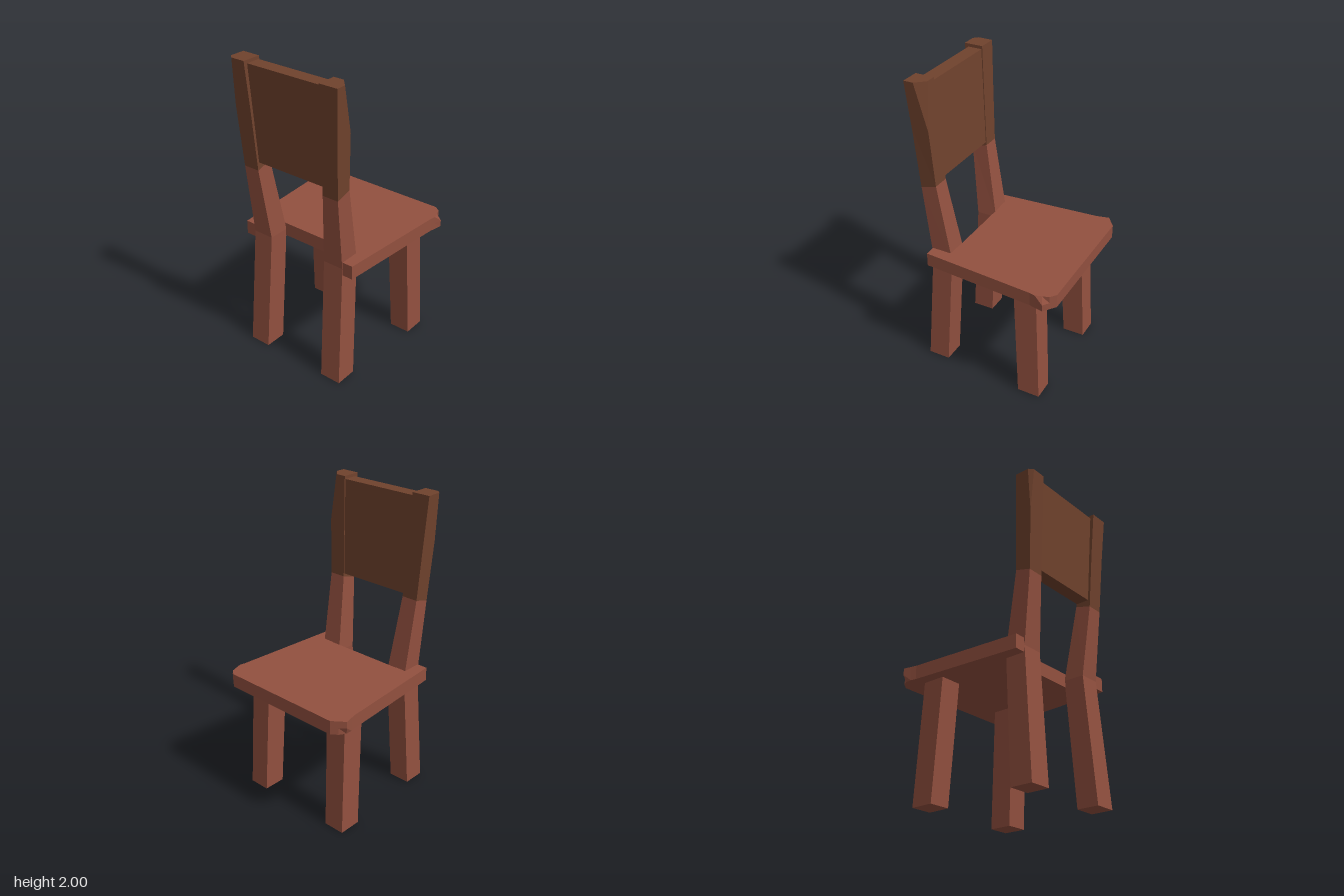
import * as THREE from 'three';

// Faceted solid through stacked rings of [x, y, z] points, capped at both ends
function loft(rings) {
  const flat = (r) => r.map(([x, , z]) => new THREE.Vector2(x, z));
  if (THREE.ShapeUtils.area(flat(rings[0])) < 0) rings = rings.map((r) => [...r].reverse());
  const pos = [];
  const tri = (a, b, c) => pos.push(...a, ...b, ...c);
  const n = rings[0].length;
  for (let k = 0; k + 1 < rings.length; k++) {
    const lo = rings[k], hi = rings[k + 1];
    for (let i = 0; i < n; i++) {
      const j = (i + 1) % n;
      tri(lo[i], hi[i], hi[j]);
      tri(lo[i], hi[j], lo[j]);
    }
  }
  const cap = (r, up) => {
    for (const [a, b, c] of THREE.ShapeUtils.triangulateShape(flat(r), [])) {
      if (up) tri(r[a], r[c], r[b]);
      else tri(r[a], r[b], r[c]);
    }
  };
  cap(rings[0], false);
  cap(rings[rings.length - 1], true);
  const g = new THREE.BufferGeometry();
  g.setAttribute('position', new THREE.Float32BufferAttribute(pos, 3));
  g.computeVertexNormals();
  return g;
}

// Four-cornered ring, with its own height at the low-z and high-z edges
const quad = (s, x0, x1, z0, z1, y0, y1 = y0) =>
  [[s * x0, y0, z0], [s * x1, y0, z0], [s * x1, y1, z1], [s * x0, y1, z1]];

export function createModel() {
  const group = new THREE.Group();
  const redWood = new THREE.MeshStandardMaterial({ color: 0x92503f });
  redWood.name = 'redWood';
  const brownWood = new THREE.MeshStandardMaterial({ color: 0x70422d });
  brownWood.name = 'brownWood';
  const add = (name, rings, material) => {
    const mesh = new THREE.Mesh(loft(rings), material);
    mesh.name = name;
    group.add(mesh);
  };

  // Seat: tapered board, notched for the posts, with chipped corners
  const seatRing = (y, leftCorner, rightCorner) => {
    const side = (s, [cx, cz]) => [
      [0.42, -0.5], [0.46, -0.47], [cx, cz], [0.487, -0.385], [0.48, -0.35],
      [0.425, 0.403], [0.28, 0.403], [0.28, 0.27],
    ].map(([x, z]) => [s * x, y, z]);
    return [...side(1, leftCorner), ...side(-1, rightCorner).reverse()];
  };
  add('seat', [
    seatRing(0.78, [0.498, -0.44], [0.485, -0.43]),
    seatRing(0.825, [0.5, -0.44], [0.5, -0.44]),
    seatRing(0.87, [0.474, -0.428], [0.5, -0.44]),
  ], redWood);

  for (const s of [1, -1]) {
    const side = s > 0 ? 'left' : 'right';

    // Splayed legs on the open side of the seat
    add(side + 'SeatLeg', [
      quad(s, 0.275, 0.417, -0.39, -0.24, 0),
      quad(s, 0.255, 0.4, -0.35, -0.198, 0.79),
    ], redWood);

    // Leg under the backrest, bending at the seat and running up to the colour change
    const joint = quad(s, 0.25, 0.36, 0.35, 0.455, 1.335, 1.305);
    add(side + 'BackLeg', [
      quad(s, 0.23, 0.375, 0.318, 0.465, 0),
      quad(s, 0.213, 0.353, 0.266, 0.405, 0.825),
      joint,
    ], redWood);

    // Upper post with one chipped outer corner, so that corner is doubled
    const [a, b, c, d] = joint;
    const [e, f, g, h] = quad(s, 0.262, 0.379, 0.367, 0.481, 1.7);
    const [p, , r, t] = quad(s, 0.272, 0.396, 0.38, 0.504, 2);
    const rings = s > 0
      ? [[a, b, b, c, d], [e, f, f, g, h], [p, [0.34, 2, 0.38], [0.396, 2, 0.44], r, t]]
      : [[a, b, c, c, d], [e, f, g, g, h],
        [p, [-0.396, 2, 0.38], [-0.396, 2, 0.477], [-0.368, 2, 0.504], t]];
    add(side + 'BackPost', rings, brownWood);
  }

  // Backrest panel, leaning with the posts
  add('backrestPanel', [
    quad(1, -0.28, 0.28, 0.356, 0.443, 1.355),
    quad(1, -0.3, 0.3, 0.386, 0.478, 1.98),
  ], brownWood);

  return group;
}
